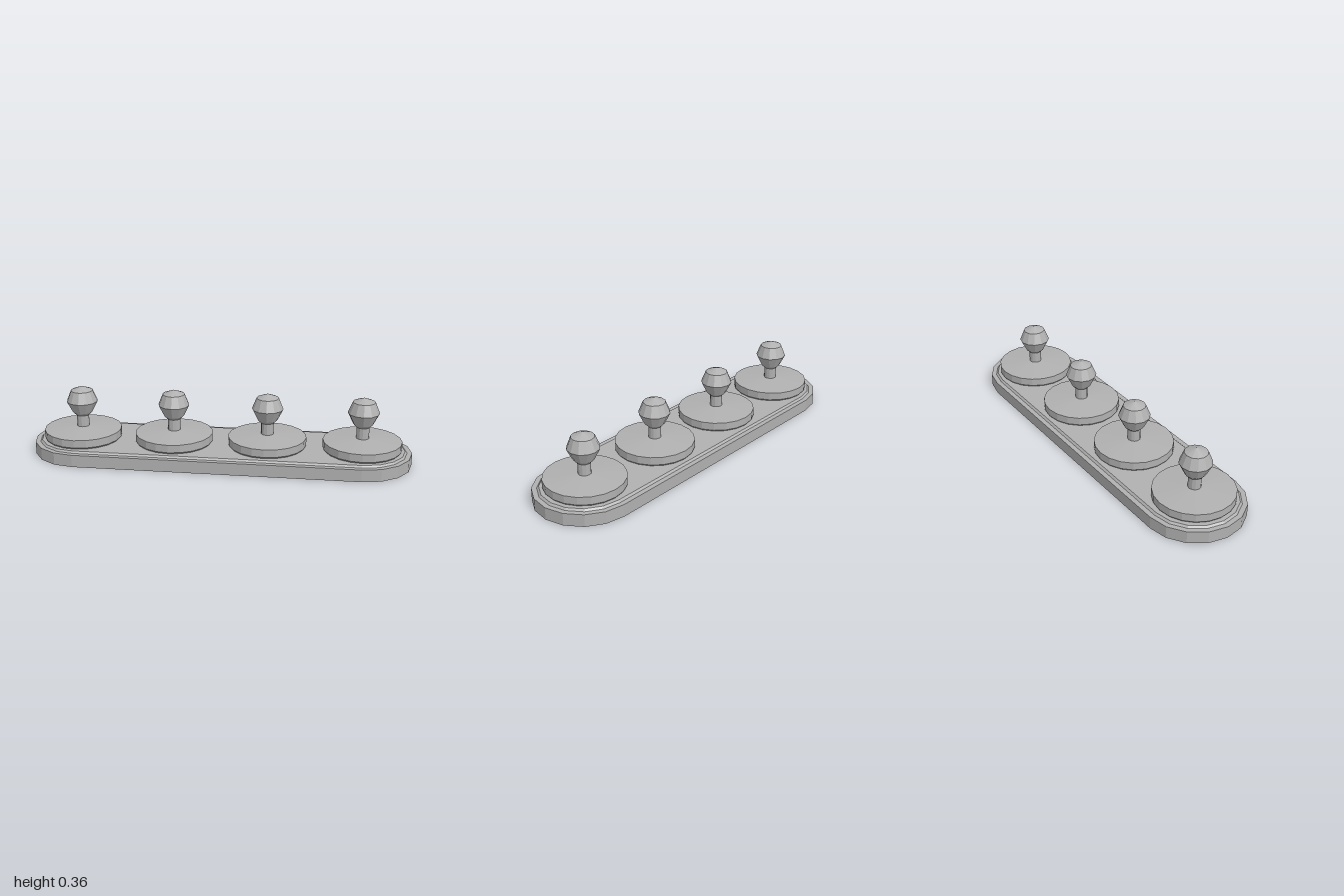
import * as THREE from 'three';

const grey = new THREE.MeshStandardMaterial({ color: 0xb0b0b0 });
grey.name = 'plain grey';

const CAP_X = 0.742; // centre of each rounded end

// Gives every face its own normal
function faceted(geometry) {
  const flat = geometry.toNonIndexed();
  flat.computeVertexNormals();
  return flat;
}

function part(name, geometry) {
  const mesh = new THREE.Mesh(faceted(geometry), grey);
  mesh.name = name;
  return mesh;
}

function turned(name, profile, sides) {
  return part(name, new THREE.LatheGeometry(profile.map(([r, y]) => new THREE.Vector2(r, y)), sides));
}

// Sweeps a [radius, y] profile around a long outline with rounded ends
function sweptOval(profile, capSides) {
  const ring = [];
  for (const side of [1, -1]) {
    for (let i = 0; i <= capSides; i++) {
      const a = -Math.PI / 2 + (i / capSides) * Math.PI;
      ring.push([side * CAP_X, side * Math.cos(a), side * Math.sin(a)]);
    }
  }
  const n = ring.length;
  const positions = [];
  const index = [];
  profile.forEach(([r, y], j) => {
    ring.forEach(([cx, dx, dz], i) => {
      positions.push(cx + r * dx, y, r * dz);
      if (j === profile.length - 1) return;
      const a = j * n + i;
      const b = j * n + ((i + 1) % n);
      index.push(a, a + n, b + n, a, b + n, b);
    });
  });
  const geometry = new THREE.BufferGeometry();
  geometry.setAttribute('position', new THREE.Float32BufferAttribute(positions, 3));
  geometry.setIndex(index);
  return geometry;
}

export function createModel() {
  const model = new THREE.Group();
  model.name = 'knobRail';

  // Base plate: hollow underneath, with a small bevelled step on top
  model.add(part('basePlate', sweptOval([
    [0, 0.062], [0.234, 0.062], [0.234, 0], [0.258, 0],
    [0.258, 0.065], [0.232, 0.065], [0.222, 0.075], [0, 0.075],
  ], 8)));

  // Four identical knobs in a row
  for (let i = 0; i < 4; i++) {
    const knob = new THREE.Group();
    knob.name = 'knob' + (i + 1);
    knob.position.x = -CAP_X + (i * 2 * CAP_X) / 3;
    knob.add(
      turned('disc', [[0, 0.0755], [0.198, 0.0755], [0.205, 0.084], [0.205, 0.125], [0.033, 0.139], [0, 0.139]], 20),
      turned('stem', [[0.033, 0.136], [0.033, 0.203]], 12),
      turned('ball', [[0, 0.2], [0.035, 0.2], [0.052, 0.216], [0.082, 0.276], [0.058, 0.335], [0, 0.358]], 12),
    );
    model.add(knob);
  }
  return model;
}
